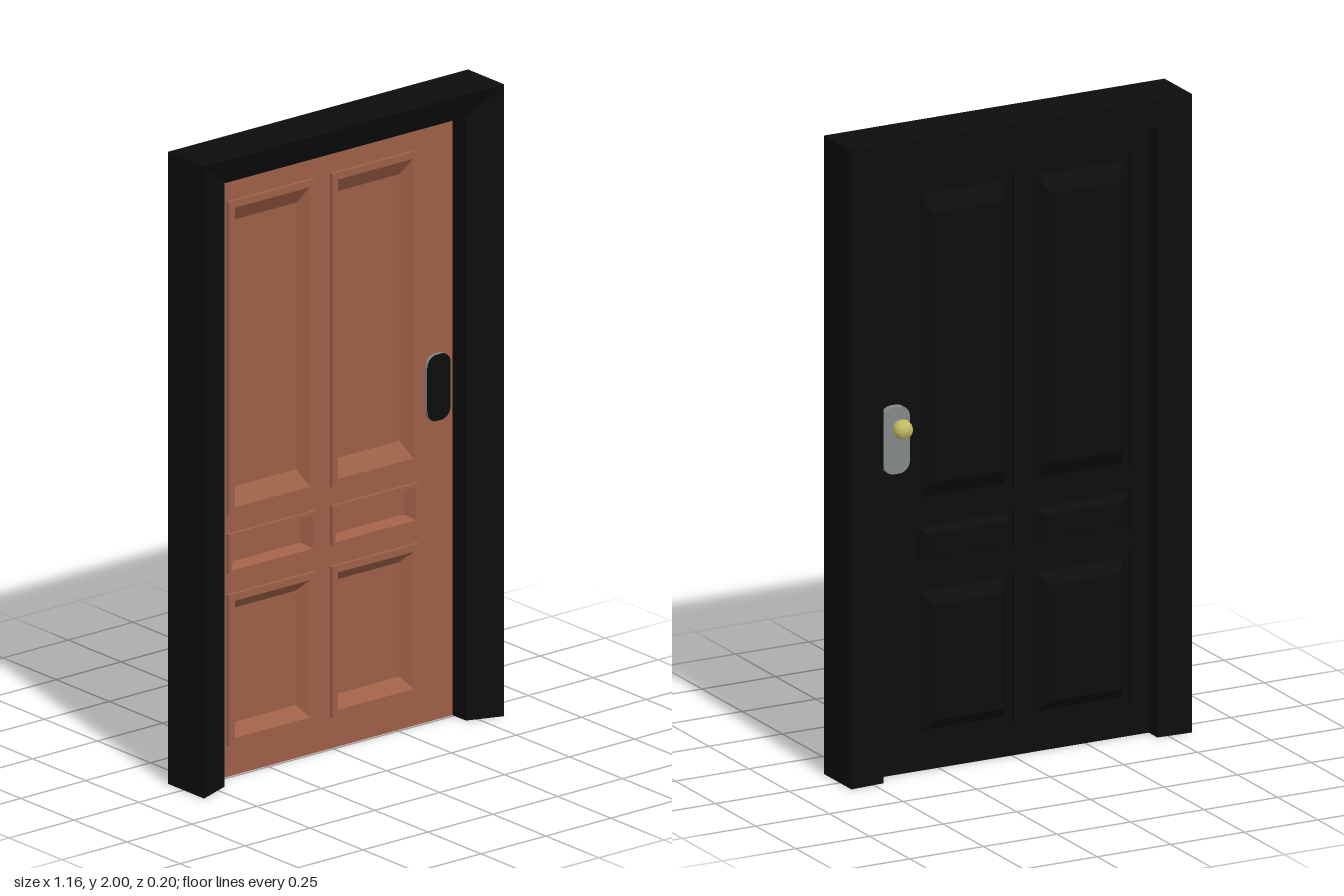
import * as THREE from 'three';

const brown = new THREE.MeshStandardMaterial({ color: 0x9e6047 });
brown.name = 'brown wood';
const black = new THREE.MeshStandardMaterial({ color: 0x0d0d0d });
black.name = 'black paint';
const grey = new THREE.MeshStandardMaterial({ color: 0x858888 });
grey.name = 'grey metal';
const brass = new THREE.MeshStandardMaterial({ color: 0xc4bb62 });
brass.name = 'brass';

function add(parent, name, geometry, material, z = 0) {
  const mesh = new THREE.Mesh(geometry, material);
  mesh.name = name;
  mesh.position.z = z;
  parent.add(mesh);
  return mesh;
}

// Flat-shaded geometry from quads of corner points, counter-clockwise
function quads(list) {
  const pos = [];
  for (const [a, b, c, d] of list) pos.push(...a, ...b, ...c, ...a, ...c, ...d);
  const g = new THREE.BufferGeometry();
  g.setAttribute('position', new THREE.Float32BufferAttribute(pos, 3));
  g.computeVertexNormals();
  return g;
}

// The same surface seen from its other side
function flipped(source) {
  const g = source.index ? source.toNonIndexed() : source.clone();
  const p = g.attributes.position;
  for (let i = 0; i < p.count; i += 3) {
    const b = new THREE.Vector3().fromBufferAttribute(p, i + 1);
    const c = new THREE.Vector3().fromBufferAttribute(p, i + 2);
    p.setXYZ(i + 1, c.x, c.y, c.z);
    p.setXYZ(i + 2, b.x, b.y, b.z);
  }
  g.computeVertexNormals();
  return g;
}

// Front and back skins of a thin pressed sheet
function sheet(parent, name, geometry) {
  add(parent, name + 'Front', geometry, brown, 0.002);
  add(parent, name + 'Back', flipped(geometry), black, -0.002);
}

function rect(x0, x1, y0, y1, z) {
  return [[x0, y0, z], [x1, y0, z], [x1, y1, z], [x0, y1, z]];
}

// Raised moulding that slopes down to a sunken field
function pressedPanel(cx, y0, y1, rim, slopeX, slopeY) {
  const hw = 0.167;
  const ring = (ix, iy, z) => rect(cx - hw + ix, cx + hw - ix, y0 + iy, y1 - iy, z);
  const rings = [
    ring(0, 0, 0),
    ring(0, 0, 0.012),
    ring(rim, rim, 0.012),
    ring(rim + slopeX, rim + slopeY, -0.022),
  ];
  const faces = [];
  for (let r = 0; r < 3; r++) {
    for (let i = 0; i < 4; i++) {
      const j = (i + 1) % 4;
      faces.push([rings[r][i], rings[r][j], rings[r + 1][j], rings[r + 1][i]]);
    }
  }
  faces.push(rings[3]);
  return quads(faces);
}

function roundedShape(w, h, r) {
  const s = new THREE.Shape();
  s.absarc(w / 2 - r, h / 2 - r, r, 0, Math.PI / 2);
  s.absarc(-w / 2 + r, h / 2 - r, r, Math.PI / 2, Math.PI);
  s.absarc(-w / 2 + r, -h / 2 + r, r, Math.PI, Math.PI * 1.5);
  s.absarc(w / 2 - r, -h / 2 + r, r, Math.PI * 1.5, Math.PI * 2);
  s.closePath();
  return s;
}

export function createModel() {
  const model = new THREE.Group();
  model.name = 'door';

  // Frame: a splayed section carried round the two posts and the head
  const section = [[0, 0.097], [1, 0.055], [1, -0.066], [0, -0.073]];
  const stations = [[-1, 0], [-1, 1], [1, 1], [1, 0]].map(([side, top]) =>
    section.map(([t, z]) => [side * (0.578 - t * 0.113), top * (2 - t * 0.09), z]));
  const frameFaces = [];
  for (let s = 0; s < 3; s++) {
    for (let i = 0; i < 4; i++) {
      const j = (i + 1) % 4;
      frameFaces.push([stations[s][i], stations[s][j], stations[s + 1][j], stations[s + 1][i]]);
    }
  }
  // The front face must look towards +z
  let frameGeo = quads(frameFaces);
  if (frameGeo.attributes.normal.getZ(0) < 0) frameGeo = flipped(frameGeo);
  const frame = new THREE.Group();
  frame.name = 'frame';
  model.add(frame);
  add(frame, 'frameOutside', frameGeo, black);
  add(frame, 'frameInside', flipped(frameGeo), brown);

  // Door leaf: a thin sheet with six pressed panels
  const leaf = new THREE.Group();
  leaf.name = 'leaf';
  leaf.position.z = -0.01;
  model.add(leaf);
  const board = new THREE.Shape([[-0.468, 0], [0.468, 0], [0.468, 1.915], [-0.468, 1.915]]
    .map(([x, y]) => new THREE.Vector2(x, y)));
  const rows = [
    ['lowerPanel', 0.1, 0.578, 0.022, 0.028, 0.036],
    ['middlePanel', 0.642, 0.77, 0.012, 0.02, 0.014],
    ['upperPanel', 0.83, 1.822, 0.022, 0.026, 0.052],
  ];
  for (const cx of [-0.238, 0.16]) {
    for (const [name, y0, y1, rim, sx, sy] of rows) {
      sheet(leaf, name, pressedPanel(cx, y0, y1, rim, sx, sy));
      board.holes.push(new THREE.Path(rect(cx - 0.167, cx + 0.167, y0, y1, 0)
        .map(([x, y]) => new THREE.Vector2(x, y))));
    }
  }
  sheet(leaf, 'board', new THREE.ShapeGeometry(board));

  // Lock plate: grey body with a black front face
  const lock = new THREE.Group();
  lock.name = 'lock';
  lock.position.set(0.403, 1.055, 0);
  model.add(lock);
  const plate = roundedShape(0.09, 0.21, 0.036);
  add(lock, 'lockPlate', new THREE.ExtrudeGeometry(plate,
    { depth: 0.036, bevelEnabled: false, curveSegments: 6 }), grey, -0.034);
  add(lock, 'lockPlateFront', new THREE.ShapeGeometry(plate, 6), black, 0.004);

  // Knob on the back
  const profile = [[0.012, 0], [0.012, 0.012], [0.026, 0.022], [0.031, 0.036],
    [0.029, 0.05], [0.02, 0.066], [0, 0.068]].map(([r, y]) => new THREE.Vector2(r, y));
  const knob = add(lock, 'knob', new THREE.LatheGeometry(profile, 12), brass, -0.032);
  knob.rotation.x = -Math.PI / 2;
  knob.position.y = 0.045;

  return model;
}
